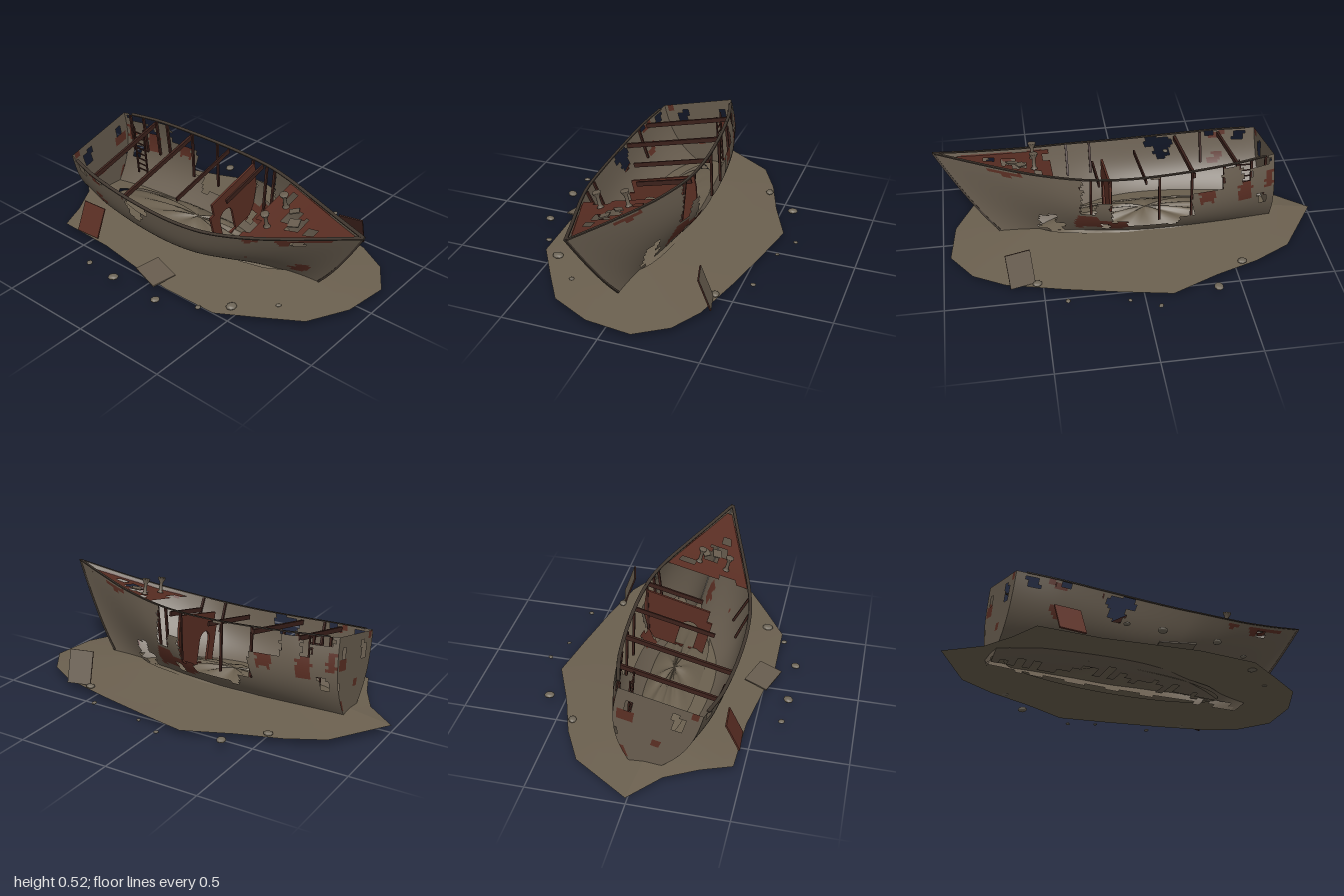
import * as THREE from 'three';
import { mergeGeometries } from 'three/addons/utils/BufferGeometryUtils.js';

const V = (x, y, z) => new THREE.Vector3(x, y, z);
const mat = (name, color, side = THREE.FrontSide) => {
  const m = new THREE.MeshStandardMaterial({ color, side });
  m.name = name;
  return m;
};
const hash = (a, b = 0) => { const s = Math.sin(a * 127.1 + b * 311.7) * 43758.5453; return s - Math.floor(s); };
const ROLL = 0.244, LIFT = 0.005;

// Smooth lookup through [position, value] pairs
const curve = (pts) => (t) => {
  let i = 0;
  while (i < pts.length - 2 && t > pts[i + 1][0]) i++;
  const g = (k) => pts[Math.max(0, Math.min(pts.length - 1, k))];
  const slope = (k) => (g(k + 1)[1] - g(k - 1)[1]) / (g(k + 1)[0] - g(k - 1)[0]);
  const [x0, y0] = pts[i], [x1, y1] = pts[i + 1], h = x1 - x0, s = Math.max(0, Math.min(1, (t - x0) / h));
  return y0 * (1 + 2 * s) * (1 - s) ** 2 + slope(i) * h * s * (1 - s) ** 2
    + y1 * s * s * (3 - 2 * s) + slope(i + 1) * h * s * s * (s - 1);
};

// Hull lines in the ship's own upright frame
const beamAt = curve([[0, 0.21], [0.14, 0.265], [0.37, 0.294], [0.54, 0.28], [0.655, 0.232], [0.77, 0.16], [0.885, 0.08], [1, 0]]);
const sheer = curve([[0, 0.462], [0.3, 0.432], [0.5, 0.428], [0.7, 0.455], [0.85, 0.495], [1, 0.545]]);
const sternX = (v) => -0.765 + 0.02 * v;
const stemX = (v) => 0.6 + 0.4 * Math.pow(v, 0.75);
const full = curve([[0, 2.8], [0.35, 3.5], [0.55, 3.4], [1, 1.5]]);
const hullPoint = (t, v, side) => V(
  THREE.MathUtils.lerp(sternX(v), stemX(v), t), v * sheer(t),
  side * beamAt(t) * (1 - Math.pow(1 - v, full(t))));
const hullAt = (x, v, side) => hullPoint(Math.min(1, (x - sternX(v)) / (stemX(v) - sternX(v))), v, side);
const inside = (rects, a, b) => rects.some(([a0, a1, b0, b1]) => a > a0 && a < a1 && b > b0 && b < b1);

// Plated surface: pick(i, j, centre) gives -1 for a missing cell, else a material index
function plating(nu, nv, point, pick, flip) {
  const pos = [], all = [], sets = [[], []];
  for (let j = 0; j <= nv; j++) for (let i = 0; i <= nu; i++) pos.push(...point(i / nu, j / nv).toArray());
  for (let j = 0; j < nv; j++) for (let i = 0; i < nu; i++) {
    const a = j * (nu + 1) + i, b = a + 1, d = a + nu + 1, c = d + 1;
    const q = flip ? [a, c, b, a, d, c] : [a, b, c, a, c, d];
    all.push(...q);
    const k = pick(i, j, point((i + 0.5) / nu, (j + 0.5) / nv));
    if (k >= 0) sets[k].push(...q);
  }
  const g = new THREE.BufferGeometry();
  g.setAttribute('position', new THREE.Float32BufferAttribute(pos, 3));
  g.setIndex(all);
  g.computeVertexNormals();
  g.setIndex([...sets[0], ...sets[1]]);
  g.addGroup(0, sets[0].length, 0);
  g.addGroup(sets[0].length, sets[1].length, 1);
  return g;
}

// Rectangular bar between two points
function bar(a, b, w, h) {
  const o = new THREE.Object3D();
  o.position.copy(a).add(b).multiplyScalar(0.5);
  o.lookAt(b);
  o.updateMatrix();
  return new THREE.BoxGeometry(w, h, a.distanceTo(b)).applyMatrix4(o.matrix);
}

export function createModel() {
  const steel = mat('weathered plating', 0x675c4e, THREE.DoubleSide);
  const rust = mat('rust', 0x5a2e23, THREE.DoubleSide);
  const dark = mat('dark rust', 0x3c211b);
  const trim = mat('rail brown', 0x3f362e);
  const sand = mat('sand', 0x6b604f, THREE.DoubleSide);
  const stone = mat('stone', 0x6e6658);
  const model = new THREE.Group(), ship = new THREE.Group();
  model.name = 'shipwreck';
  ship.name = 'ship';
  ship.rotation.x = ROLL;
  ship.position.set(0, LIFT, 0.002);
  model.add(ship);
  const add = (parent, name, geo, m) => {
    const mesh = new THREE.Mesh(geo, m);
    mesh.name = name;
    parent.add(mesh);
    return mesh;
  };
  const worldY = (p) => LIFT + p.y * Math.cos(ROLL) - p.z * Math.sin(ROLL);

  // Hull sides: missing and rusted areas as [x0, x1, v0, v1]
  const gaps = {
    1: [[-0.28, -0.2, 0.68, 0.95], [-0.21, -0.14, 0.84, 1], [-0.69, -0.63, 0.86, 0.95], [-0.3, -0.27, 0.86, 0.92],
      [-0.52, -0.47, 0.93, 1], [0.66, 0.73, 0.86, 0.93]],
    '-1': [[-0.46, 0.27, 0.7, 1], [-0.3, 0.12, 0.38, 0.8], [-0.24, 0.03, 0.27, 0.5], [-0.62, -0.57, 0.75, 0.95],
      [-0.72, -0.56, 0.9, 1], [-0.57, -0.46, 0.95, 1], [0.2, 0.27, 0.5, 0.8], [-0.7, -0.66, 0.4, 0.52],
      [0.12, 0.16, 0.2, 0.34], [0.4, 0.48, 0.16, 0.4], [0.36, 0.42, 0.14, 0.28]]
  };
  const rusty = {
    1: [[-0.57, -0.52, 0.6, 0.72], [-0.55, -0.5, 0.57, 0.66], [0.57, 0.64, 0.24, 0.36], [0.61, 0.68, 0.3, 0.43],
      [0.38, 0.41, 0.5, 0.55], [0.6, 0.72, 0.88, 0.97], [0.72, 0.86, 0.92, 0.97], [0.44, 0.52, 0.9, 0.96], [-0.59, -0.5, 0.9, 0.97]],
    '-1': [[0.2, 0.3, 0.24, 0.45], [0.03, 0.2, 0.24, 0.4], [-0.62, -0.55, 0.5, 0.72],
      [-0.42, -0.34, 0.55, 0.7], [0.56, 0.74, 0.92, 0.97], [-0.74, -0.7, 0.6, 0.8]]
  };
  const NU = 110, NV = 28;
  for (const side of [1, -1]) {
    const geo = plating(NU, NV, (t, v) => hullPoint(t, v, side), (i, j, c) => {
      const v = (j + 0.5) / NV, k = Math.floor(i / 3);
      if (worldY(c) < (hash(k, side) > 0.75 ? 0.025 : 0.037 + 0.02 * hash(k, 5))) return -1;
      const x = c.x + 0.02 * (hash(j, side) - 0.5), w = v + 0.04 * (hash(k, 9) - 0.5);
      if (inside(gaps[side], x, w)) return -1;
      return inside(rusty[side], x, w) ? 1 : 0;
    }, side < 0);
    add(ship, side > 0 ? 'hullLeft' : 'hullRight', geo, [steel, rust]);
  }

  // Transom
  add(ship, 'transom', plating(24, 24, (u, v) => {
    const p = hullPoint(0, v, 1);
    return V(p.x, p.y, p.z * (u * 2 - 1));
  }, (i, j, c) => {
    const u = (i + 0.5) / 12 - 1, v = (j + 0.5) / 24;
    if (worldY(c) < 0.02 + 0.03 * hash(i, 2)) return -1;
    if (inside([[-0.75, -0.55, 0.75, 0.88], [0.45, 0.7, 0.72, 0.86], [0.3, 0.5, 0.83, 0.9], [-1, -0.9, 0.4, 0.5]], u, v)) return -1;
    return inside([[-0.9, -0.5, 0.62, 0.75], [0.1, 0.3, 0.4, 0.52], [-1, -0.8, 0.15, 0.3], [0.75, 0.95, 0.9, 1]], u, v) ? 1 : 0;
  }), [steel, rust]);

  // Gunwale rails and stem post
  const rails = [];
  for (const side of [1, -1]) for (let i = 1; i < 36; i++)
    rails.push(bar(hullPoint(i / 36, 1, side), hullPoint((i + 1) / 36, 1, side), 0.018, 0.006));
  for (let i = 2; i < 14; i++) rails.push(bar(hullPoint(1, i / 14, 1), hullPoint(1, (i + 1) / 14, 1), 0.01, 0.01));
  add(ship, 'rails', mergeGeometries(rails), trim);

  // Straight ribs left standing along the sides
  const ribs = [];
  const rib = (x, side, low) => {
    const a = hullAt(x, low, side), b = hullAt(x, 0.99, side);
    a.z -= side * 0.01;
    b.z -= side * 0.008;
    ribs.push(bar(a, b, 0.012, 0.012));
  };
  for (const x of [-0.7, -0.62, -0.54, -0.47, -0.3, -0.13, 0.12, 0.22, 0.28]) rib(x, -1, x < -0.4 ? 0.5 : 0.38);
  for (const x of [-0.45, 0.17, 0.3]) rib(x, 1, 0.6);
  add(ship, 'ribs', mergeGeometries(ribs), dark);

  // Cross beams, the shorter ones broken off
  const beams = [[-0.55, 1, 0.013], [-0.31, 1, 0.015], [-0.06, 0.6, 0.008], [0.18, 0.3, 0.01]].map(([x, reach, w]) => {
    const a = hullAt(x, 0.94, -1), b = hullAt(x, 0.94, 1);
    return bar(a, a.clone().lerp(b, 0.35 + 0.65 * reach), w, 0.025);
  });
  add(ship, 'crossBeams', mergeGeometries(beams), dark);

  // Broken foredeck
  add(ship, 'foredeck', plating(30, 14, (u, s) => {
    const p = hullAt(0.4 + 0.55 * u, 0.95, 1);
    return V(p.x, p.y, p.z * (1 - 2 * s));
  }, (i, j, c) => inside([[0.52, 0.6, -0.06, 0.03], [0.58, 0.66, -0.03, 0.06], [0.4, 0.44, 0.07, 0.16],
    [0.46, 0.5, -0.18, -0.09], [0.7, 0.74, 0.02, 0.06]], c.x, c.z) ? -1 : 0), [rust, rust]);

  // Broken bulkhead amidships with an arched doorway
  const section = new THREE.Shape([0.28, 0.4, 0.6, 0.8, 0.95].map((v) => hullAt(0.12, v, -0.96))
    .map((p) => new THREE.Vector2(p.z, p.y)));
  section.lineTo(0.08, 0.4).lineTo(0.08, 0.33).lineTo(0.11, 0.33).lineTo(0.11, 0.12);
  const door = new THREE.Path();
  door.moveTo(-0.05, 0.13).lineTo(0.05, 0.13).lineTo(0.05, 0.25).absarc(0, 0.25, 0.05, 0, Math.PI, false).lineTo(-0.05, 0.13);
  section.holes.push(door);
  add(ship, 'bulkhead', new THREE.ExtrudeGeometry(section, { depth: 0.012, bevelEnabled: false })
    .rotateY(-Math.PI / 2).translate(0.13, 0, 0), rust);

  // Mooring posts on the foredeck
  const post = new THREE.LatheGeometry([[0.018, 0], [0.01, 0.012], [0.009, 0.055], [0.022, 0.078], [0.022, 0.085], [0, 0.085]]
    .map(([r, y]) => new THREE.Vector2(r, y)), 10);
  for (const z of [-0.07, 0.085]) add(ship, 'mooringPost', post, steel).position.set(0.49, 0.44, z);

  // Ladder near the stern
  const ladder = [bar(V(-0.64, 0.13, -0.12), V(-0.64, 0.43, -0.17), 0.008, 0.008), bar(V(-0.57, 0.13, -0.12), V(-0.57, 0.43, -0.17), 0.008, 0.008)];
  for (let i = 0; i < 8; i++) {
    const y = 0.16 + i * 0.034, z = -0.125 - i * 0.0057;
    ladder.push(bar(V(-0.64, y, z), V(-0.57, y, z), 0.006, 0.006));
  }
  add(ship, 'ladder', mergeGeometries(ladder), dark);

  // Loose plates
  const plate = (parent, name, size, at, rot, m) => {
    const p = add(parent, name, new THREE.BoxGeometry(...size), m);
    p.position.set(...at);
    p.rotation.set(...rot, 'YXZ');
  };
  plate(ship, 'deckPlate', [0.06, 0.006, 0.05], [0.6, 0.45, 0.01], [0.1, 0.3, 0.15], steel);
  plate(ship, 'deckPlate', [0.05, 0.006, 0.04], [0.56, 0.46, -0.05], [-0.2, 0.6, 0.1], steel);
  plate(model, 'leaningPlate', [0.14, 0.165, 0.008], [-0.505, 0.145, 0.425], [-0.44, 0.06, 0], rust);
  plate(model, 'leaningPlate', [0.13, 0.18, 0.008], [0.61, 0.15, -0.395], [0.35, 0.25, 0], [dark, dark, dark, dark, dark, steel]);
  plate(model, 'fallenPlate', [0.18, 0.007, 0.13], [0.02, 0.083, 0.49], [0.16, -0.32, 0], steel);

  // Sand bank around the hull
  const shore = [[-1, 0], [-0.8, -0.3], [-0.61, -0.4], [-0.38, -0.48], [-0.14, -0.585], [0.12, -0.535], [0.4, -0.475], [0.69, -0.4],
    [0.85, -0.31], [0.96, -0.15], [0.93, 0.09], [0.82, 0.3], [0.63, 0.42], [0.44, 0.535], [0.13, 0.54], [-0.07, 0.51],
    [-0.36, 0.465], [-0.68, 0.455], [-0.74, 0.3], [-0.83, 0.14]];
  add(model, 'sandBank', plating(20, 3, (u, v) => {
    const [x, z] = shore[Math.floor(u * 20 + 1e-6) % 20], a = Math.atan2(z / 0.55, x);
    return V(THREE.MathUtils.lerp(x, -0.08 + 0.6 * Math.cos(a), v), 0.06 + 0.028 * v,
      THREE.MathUtils.lerp(z, 0.035 + 0.14 * Math.sin(a), v));
  }, () => 0, true), [sand, sand]);

  // Sand drift inside the hull, creased towards its middle
  add(model, 'sandDrift', plating(48, 10, (u, v) => {
    const a = u * Math.PI * 2, r = 1 - v;
    const crease = 0.07 * Math.sin(a * 9) * v * v * r;
    return V(-0.09 + 0.6 * r * Math.cos(a), 0.06 + 0.085 * Math.sin(v * Math.PI / 2) + crease, 0.03 + 0.175 * r * Math.sin(a));
  }, () => 0, true), [sand, sand]);

  // Scattered stones
  [[-0.37, -0.575, 0.028], [-0.06, -0.67, 0.014], [0.085, -0.61, 0.012], [0.39, -0.57, 0.015], [-0.53, -0.4, 0.025],
    [0.53, -0.42, 0.025], [-0.31, 0.635, 0.018], [-0.13, 0.645, 0.028], [0.16, 0.645, 0.025], [0.36, 0.555, 0.017],
    [0.48, 0.445, 0.03], [0.65, 0.29, 0.015]].forEach(([x, z, r], i) => {
    const s = add(model, 'stone', new THREE.SphereGeometry(r, 8, 6), stone);
    s.position.set(x, 0.068, z);
    s.scale.set(1, 0.45, 0.85);
    s.rotation.y = hash(i, 3) * 3;
  });
  return model;
}
